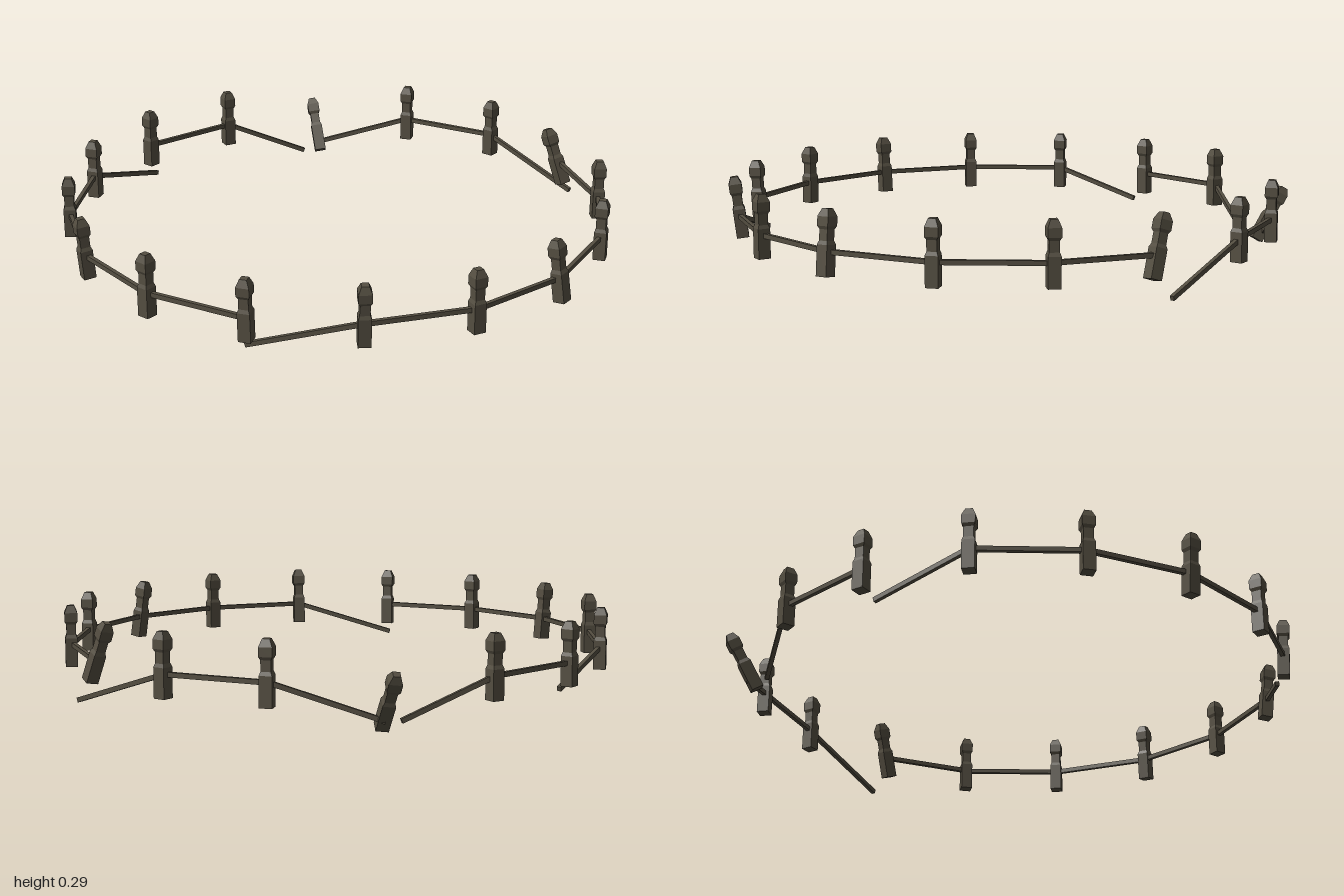
import * as THREE from 'three';

const COUNT = 16, RADIUS = 0.93, CENTER_Z = 0.034, RAIL_Y = 0.16;
const FOOT_Y = 0.083, POST_HEIGHT = 0.213;

// Square post outline: [half width, height]
const PROFILE = [
  [0, 0], [0.021, 0], [0.021, 0.1], [0.0165, 0.112], [0.0165, 0.148],
  [0.022, 0.158], [0.022, 0.188], [0.012, POST_HEIGHT], [0, POST_HEIGHT],
];

// Leaning posts by index (counted from the front towards +x): foot and head points
const LEANING = {
  0: [[0, 0.085, 0.953], [0, 0.294, 0.978]],
  2: [[0.664, 0.083, 0.705], [0.638, 0.295, 0.692]],
  5: [[0.876, 0.085, -0.285], [0.816, 0.29, -0.336]],
  8: [[0.013, 0.021, -0.878], [-0.012, 0.198, -0.984]],
  13: [[-0.856, 0.083, 0.386], [-0.872, 0.295, 0.392]],
  15: [[-0.354, 0.083, 0.888], [-0.358, 0.295, 0.898]],
};

// Rails with a dropped or shifted end, by index of their first post
const BROKEN = {
  4: [[0.925, RAIL_Y, 0.034], [0.862, RAIL_Y, -0.31]],
  5: [[0.915, 0.033, -0.338], [0.655, RAIL_Y, -0.628]],
  7: [[0.352, RAIL_Y, -0.827], [0.005, 0.045, -0.91]],
  8: [[-0.055, 0.033, -0.853], [-0.356, RAIL_Y, -0.827]],
  10: [[-0.638, 0.065, -0.578], [-0.86, RAIL_Y, -0.322]],
  15: [[-0.358, 0.053, 0.86], [0, RAIL_Y, 0.964]],
};

const angleOf = (i) => (i / COUNT) * Math.PI * 2;
const ringPoint = (i, y) => new THREE.Vector3(
  Math.sin(angleOf(i)) * RADIUS, y, CENTER_Z + Math.cos(angleOf(i)) * RADIUS);
const vec = (p) => new THREE.Vector3(...p);

export function createModel() {
  const wood = new THREE.MeshStandardMaterial({ color: 0x544e41, flatShading: true });
  wood.name = 'weathered wood';
  const model = new THREE.Group();
  model.name = 'brokenRingFence';

  // Post: a four-sided lathe, turned so its faces look along x and z
  const postGeometry = new THREE.LatheGeometry(
    PROFILE.map(([w, y]) => new THREE.Vector2(w * Math.SQRT2, y)), 4);
  postGeometry.rotateY(Math.PI / 4);
  const railGeometry = new THREE.BoxGeometry(0.014, 0.016, 1);

  const up = new THREE.Vector3(0, 1, 0);
  for (let i = 0; i < COUNT; i++) {
    const [foot, head] = LEANING[i]
      ? LEANING[i].map(vec)
      : [ringPoint(i, FOOT_Y), ringPoint(i, FOOT_Y + POST_HEIGHT)];
    const post = new THREE.Mesh(postGeometry, wood);
    post.name = 'post' + (i + 1);
    post.position.copy(foot);
    post.quaternion.setFromUnitVectors(up, head.sub(foot).normalize())
      .multiply(new THREE.Quaternion().setFromAxisAngle(up, angleOf(i)));
    model.add(post);

    // Rail towards the next post, level or fallen; its z axis joins the two ends
    const [start, end] = BROKEN[i]
      ? BROKEN[i].map(vec)
      : [ringPoint(i, RAIL_Y), ringPoint(i + 1, RAIL_Y)];
    const rail = new THREE.Mesh(railGeometry, wood);
    rail.name = 'rail' + (i + 1);
    rail.position.copy(start).lerp(end, 0.5);
    rail.scale.z = start.distanceTo(end);
    rail.lookAt(end);
    model.add(rail);
  }
  return model;
}
